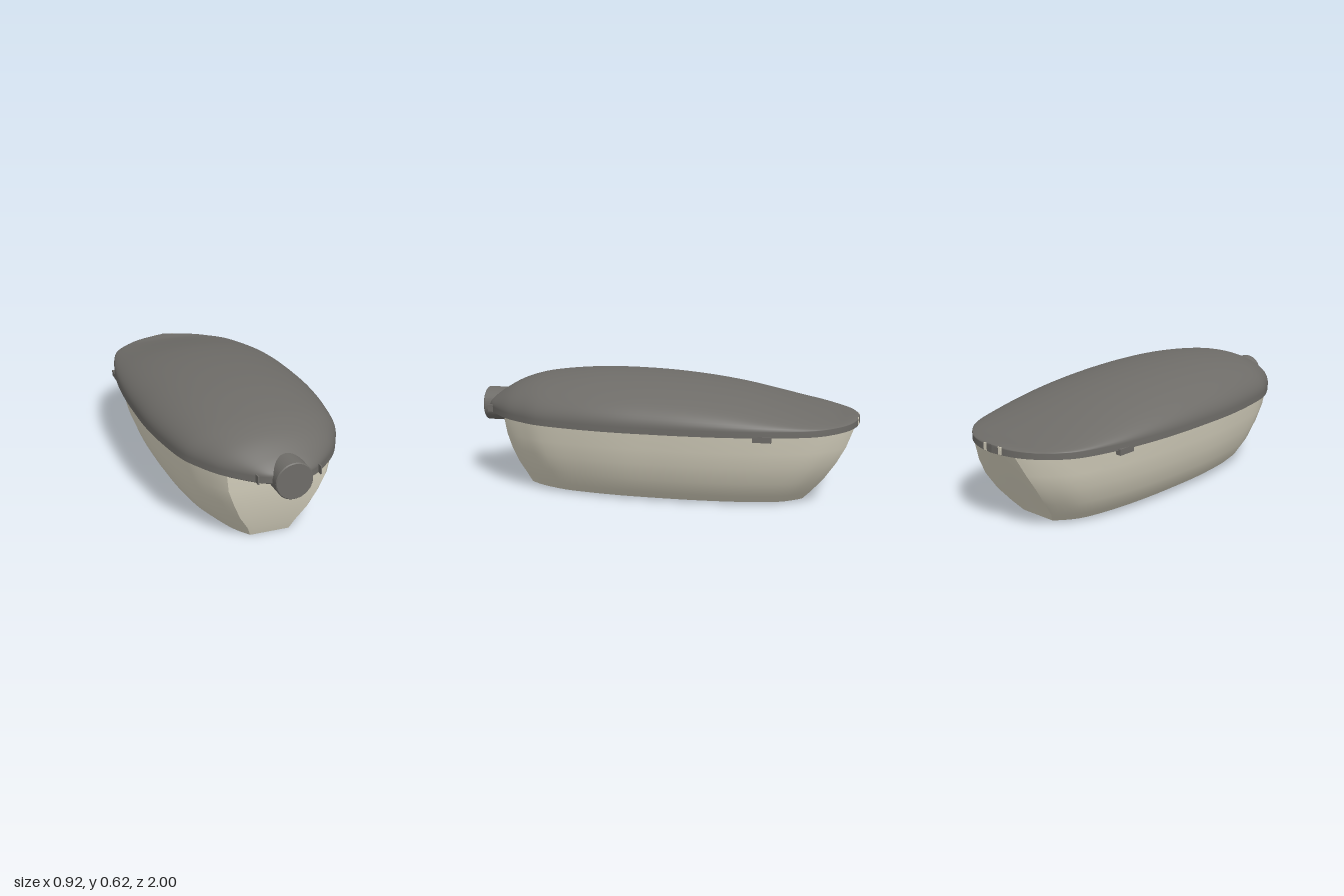
import * as THREE from 'three';

const dark = new THREE.MeshStandardMaterial({ color: 0x6e6c68 });
const cream = new THREE.MeshStandardMaterial({ color: 0xd9d4c1 });
const V = (x, y, z) => new THREE.Vector3(x, y, z);
const RIM = 0.39, SHOULDER = 0.42;

// Lid rail from back to front: half width, crown height, z
const rail = new THREE.CatmullRomCurve3([
  [0, 0.432, -1], [0.10, 0.432, -0.985], [0.19, 0.434, -0.95], [0.27, 0.438, -0.89],
  [0.345, 0.458, -0.8], [0.41, 0.51, -0.6], [0.443, 0.558, -0.4], [0.458, 0.59, -0.2],
  [0.46, 0.609, 0], [0.455, 0.617, 0.2], [0.432, 0.615, 0.4], [0.39, 0.597, 0.6],
  [0.343, 0.58, 0.7], [0.28, 0.547, 0.8], [0.18, 0.49, 0.9], [0.12, 0.457, 0.945],
  [0.07, 0.44, 0.965], [0, 0.43, 0.975],
].map((p) => V(...p)));

// Skin a list of equally long rows of points
function loft(rows) {
  const n = rows[0].length, index = [];
  for (let i = 0; i < rows.length - 1; i++) {
    for (let j = 0; j < n - 1; j++) {
      const a = i * n + j, c = a + n;
      index.push(a, a + 1, c, a + 1, c + 1, c);
    }
  }
  const g = new THREE.BufferGeometry().setFromPoints(rows.flat());
  g.setIndex(index);
  g.computeVertexNormals();
  return g;
}

function add(group, name, geometry, material, x = 0, y = 0, z = 0) {
  const mesh = new THREE.Mesh(geometry, material);
  mesh.name = name;
  mesh.position.set(x, y, z);
  group.add(mesh);
  return mesh;
}

// Rail parameter where the half width equals w, searched from a tip to the middle
function railAt(w, tip) {
  let a = tip, b = 0.5;
  for (let k = 0; k < 40; k++) {
    const m = (a + b) / 2;
    if (rail.getPoint(m).x < w) a = m; else b = m;
  }
  return a;
}

const steps = (n, f) => Array.from({ length: n + 1 }, (_, i) => f(i / n));

function makeLid() {
  const lid = new THREE.Group();
  lid.name = 'lid';
  const sections = rail.getPoints(102);
  // Domed shell: short upright rim, then a half ellipse
  add(lid, 'lidShell', loft(sections.map((p) => [
    V(p.x, RIM, p.z),
    ...steps(40, (t) => V(p.x * Math.cos(t * Math.PI),
      SHOULDER + (p.y - SHOULDER) * Math.sin(t * Math.PI), p.z)),
    V(-p.x, RIM, p.z),
  ])), dark);
  add(lid, 'lidUnderside', loft(sections.map((p) => [V(-p.x, RIM, p.z), V(p.x, RIM, p.z)])), dark);

  // Thin lip below the front of the lid
  const lip = sections.filter((p) => p.z > 0.78).map((p) => V(p.x * 0.97, 0, p.z * 0.985));
  add(lid, 'frontLip', loft(lip.map((p) => [
    V(p.x, RIM, p.z), V(p.x, 0.381, p.z), V(-p.x, 0.381, p.z), V(-p.x, RIM, p.z),
  ].reverse())), dark);

  for (const s of [-1, 1]) {
    add(lid, 'sideCatch', new THREE.BoxGeometry(0.03, 0.03, 0.09), dark, s * 0.41, 0.383, -0.547);
    add(lid, 'frontRib', new THREE.BoxGeometry(0.006, 0.04, 0.05), dark, s * 0.152, 0.41, 0.925);
    add(lid, 'backNotch', new THREE.BoxGeometry(0.02, 0.036, 0.02), cream, s * 0.05, 0.41, -0.986);
  }
  return lid;
}

function makeBody() {
  const body = new THREE.Group();
  body.name = 'body';
  // y, half width, front z, front wall half width, back z, back wall half width
  const levels = [
    [0, 0.25, 0.73, 0.10, -0.73, 0.10],
    [0.05, 0.315, 0.75, 0.12, -0.77, 0.14],
    [0.13, 0.365, 0.775, 0.17, -0.835, 0.17],
    [0.22, 0.40, 0.797, 0.21, -0.895, 0.18],
    [0.30, 0.42, 0.81, 0.24, -0.94, 0.165],
    [RIM, 0.437, 0.82, 0.253, -0.975, 0.13],
  ];
  // Side outline of one level, front to back, fitted between the end walls
  const sideOutline = ([y, hw, zf, fw, zr, rw]) => {
    const k = hw / 0.46;
    const tf = railAt(fw / k, 1), tr = railAt(rw / k, 0);
    const z0 = rail.getPoint(tr).z, z1 = rail.getPoint(tf).z;
    return steps(60, (t) => {
      const p = rail.getPoint(THREE.MathUtils.lerp(tf, tr, t));
      return V(p.x * k, y, THREE.MathUtils.mapLinear(p.z, z0, z1, zr, zf));
    });
  };
  const sides = levels.map(sideOutline);
  const mirror = (p) => V(-p.x, p.y, p.z);
  add(body, 'leftWall', loft(sides), cream);
  add(body, 'rightWall', loft(sides.map((r) => r.map(mirror).reverse())), cream);
  add(body, 'frontWall', loft(levels.map(([y, , zf, fw]) =>
    steps(8, (t) => V(fw * (2 * t - 1), y, zf)))), cream);
  // Back wall is hollowed slightly as a finger scoop
  add(body, 'backScoop', loft(levels.map(([y, , , , zr, rw]) => steps(12, (t) => {
    const u = 1 - 2 * t;
    return V(rw * u, y, zr + 0.025 * Math.sin(Math.PI * y / RIM) * (1 - u * u));
  }))), cream);
  add(body, 'base', loft(sides[0].slice().reverse().map((p) => [mirror(p), p])), cream);
  return body;
}

function makeNozzle() {
  const nozzle = new THREE.Group();
  nozzle.name = 'nozzle';
  // Round plug with a fine bevel, lying along z
  const profile = [[0, 0], [0.09, 0], [0.09, 0], [0.09, 0.155], [0.09, 0.155], [0.086, 0.16],
    [0.086, 0.16], [0, 0.16]].map((p) => new THREE.Vector2(...p));
  const g = new THREE.LatheGeometry(profile, 64).rotateX(Math.PI / 2).toNonIndexed();
  g.computeVertexNormals();
  add(nozzle, 'nozzlePlug', g, dark, 0, 0.405, 0.84);
  return nozzle;
}

export function createModel() {
  const model = new THREE.Group();
  model.name = 'lidded container';
  model.add(makeLid(), makeBody(), makeNozzle());
  return model;
}
